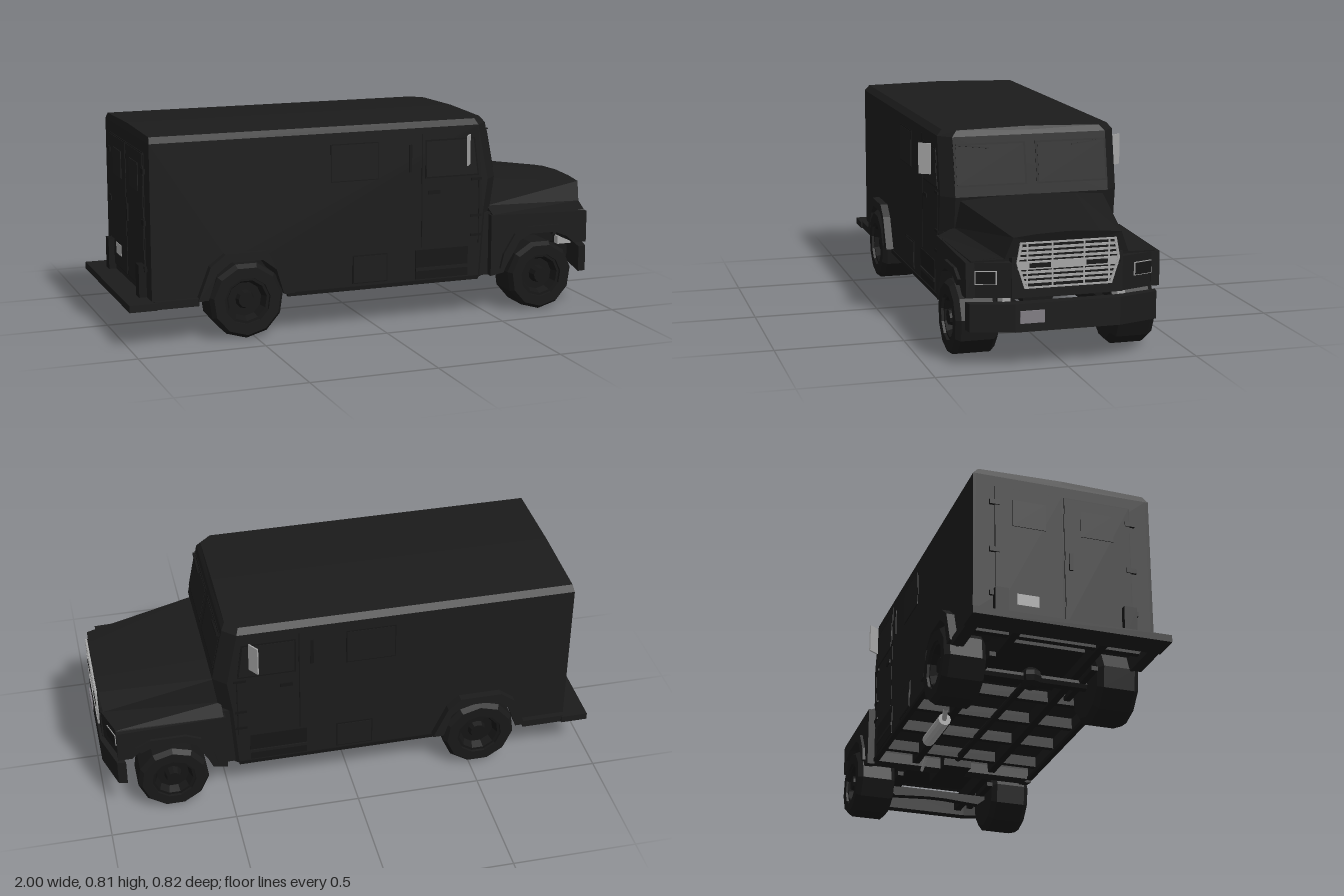
import * as THREE from 'three';

const mat = (name, color) => Object.assign(new THREE.MeshStandardMaterial({ color }), { name });

export function createModel() {
  const truck = new THREE.Group();
  truck.name = 'armouredTruck';
  const paint = mat('blackPaint', 0x1b1b1b);
  const trim = mat('darkTrim', 0x151515);
  const glass = mat('darkGlass', 0x1c1c1c);
  const rubber = mat('tyreRubber', 0x181818);
  const metal = mat('greyMetal', 0xa6a6a6);
  const plateGrey = mat('plateGrey', 0x817d84);

  const add = (name, geo, material, x = 0, y = 0, z = 0) => {
    const flat = geo.index ? geo.toNonIndexed() : geo;
    flat.computeVertexNormals();
    const m = new THREE.Mesh(flat, material);
    m.name = name;
    m.position.set(x, y, z);
    truck.add(m);
    return m;
  };
  // Box given by its limits on each axis
  const box = (name, material, x0, x1, y0, y1, z0, z1) =>
    add(name, new THREE.BoxGeometry(x1 - x0, y1 - y0, z1 - z0), material, (x0 + x1) / 2, (y0 + y1) / 2, (z0 + z1) / 2);
  const both = (fn) => [1, -1].forEach(fn);
  const sideBox = (name, material, x0, x1, y0, y1, z0, z1) =>
    both((s) => box(name, material, x0, x1, y0, y1, s > 0 ? z0 : -z1, s > 0 ? z1 : -z0));
  const shape = (pts) => new THREE.Shape(pts.map((p) => new THREE.Vector2(...p)));
  const extrude = (pts, depth) => new THREE.ExtrudeGeometry(shape(pts), { depth, bevelEnabled: false });
  // Side profile (x, y) spanning z0..z1, on both sides
  const sideProfile = (name, material, pts, z0, z1, bend) => both((s) => {
    const g = extrude(pts, z1 - z0);
    g.translate(0, 0, s > 0 ? z0 : -z1);
    if (bend) bend(g.attributes.position);
    add(name, g, material);
  });
  // Skin over rings of [x, y, z]; each ring turns right-handed about the loft direction
  const loft = (rings) => {
    const v = [], n = rings[0].length;
    const centre = (r) => [0, 1, 2].map((k) => r.reduce((t, p) => t + p[k], 0) / n);
    const first = rings[0], last = rings[rings.length - 1];
    for (let i = 0; i < n; i++) {
      const j = (i + 1) % n;
      for (let k = 0; k + 1 < rings.length; k++) {
        const a = rings[k], b = rings[k + 1];
        v.push(...a[i], ...a[j], ...b[i], ...a[j], ...b[j], ...b[i]);
      }
      v.push(...centre(first), ...first[j], ...first[i], ...centre(last), ...last[i], ...last[j]);
    }
    const g = new THREE.BufferGeometry();
    g.setAttribute('position', new THREE.Float32BufferAttribute(v, 3));
    return g;
  };
  // Nose sweeps back towards the outer corners
  const sweep = (z) => 0.055 * Math.max(0, (Math.abs(z) - 0.2) / 0.17);

  // Body shell: inner block above the floor, thin side skins reaching lower
  const arch = [[-0.7, 0.16], [-0.655, 0.27], [-0.6, 0.312], [-0.47, 0.312], [-0.415, 0.27], [-0.37, 0.16]];
  const upper = [[0.475, 0.42], [0.495, 0.56], [0.45, 0.785], [-0.905, 0.785]];
  const block = extrude([[-0.905, 0.22], [-0.69, 0.22], ...arch.slice(1, 5), [-0.38, 0.22], [0.46, 0.22], ...upper], 0.68);
  block.translate(0, 0, -0.34);
  add('bodyBlock', block, paint);
  sideProfile('bodySide', paint, [[-0.905, 0.155], ...arch, [0.457, 0.155], ...upper], 0.34, 0.352);
  // Cab front with chamfered corners
  add('cabFront', loft([[0.507, 0.155], [0.525, 0.42], [0.545, 0.56], [0.5, 0.785]].map(([x, y]) =>
    [[x - 0.05, y, 0.352], [x, y, 0.305], [x, y, -0.305], [x - 0.05, y, -0.352]])), paint);
  const roofRing = (x0, x1, w) => [[x0, 0.785, -w], [x1, 0.808, 0.02 - w], [x1, 0.815, 0], [x1, 0.808, w - 0.02], [x0, 0.785, w]];
  add('roof', loft([roofRing(-0.905, -0.9, 0.352), roofRing(0.45, 0.44, 0.352), roofRing(0.5, 0.485, 0.305)]), paint);
  box('wheelWell', trim, -0.72, -0.36, 0.2, 0.32, -0.15, 0.15);
  box('rearApron', paint, -0.905, -0.89, 0.16, 0.23, -0.345, 0.345);
  sideProfile('rearWheelFlare', paint,
    [[-0.73, 0.17], [-0.69, 0.17], ...arch.slice(1, 5), [-0.385, 0.17], [-0.34, 0.17], [-0.4, 0.3], [-0.45, 0.345], [-0.62, 0.345], [-0.68, 0.3]], 0.345, 0.383);
  sideBox('rearSkirt', paint, -0.9, -0.725, 0.15, 0.18, 0.33, 0.375);
  sideBox('sill', trim, -0.36, 0.457, 0.15, 0.165, 0.335, 0.356);

  // Side windows, door seams, hatches and step
  sideProfile('cabWindowFrame', trim, [[0.22, 0.58], [0.455, 0.58], [0.435, 0.735], [0.22, 0.735]], 0.35, 0.3535);
  sideProfile('cabWindow', glass, [[0.226, 0.586], [0.448, 0.586], [0.429, 0.729], [0.226, 0.729]], 0.35, 0.355);
  sideBox('sideWindowFrame', trim, -0.18, 0.02, 0.59, 0.74, 0.35, 0.3535);
  sideBox('sideWindow', glass, -0.176, 0.016, 0.594, 0.736, 0.35, 0.355);
  sideBox('gunSlot', trim, 0.15, 0.162, 0.61, 0.72, 0.35, 0.356);
  sideBox('doorSeam', trim, 0.205, 0.209, 0.3, 0.76, 0.35, 0.3535);
  sideBox('doorSeam', trim, 0.455, 0.459, 0.3, 0.56, 0.35, 0.3535);
  for (const y of [0.33, 0.41, 0.56]) sideBox('doorHinge', trim, 0.42, 0.468, y, y + 0.01, 0.345, 0.357);
  sideBox('doorHandle', trim, 0.235, 0.285, 0.515, 0.53, 0.35, 0.357);
  sideBox('hatchFrame', trim, -0.09, 0.06, 0.175, 0.29, 0.35, 0.3545);
  sideBox('hatch', paint, -0.085, 0.055, 0.18, 0.285, 0.35, 0.357);
  sideBox('stepRecess', trim, 0.18, 0.41, 0.17, 0.29, 0.35, 0.355);
  sideBox('stepTread', paint, 0.18, 0.41, 0.205, 0.218, 0.35, 0.36);

  // Split windscreen on the raked cab front, with wipers
  const rake = 0.197;
  both((s) => {
    const slab = (name, m, w, h, x, y, z, t = 0.008) => {
      const p = add(name, new THREE.BoxGeometry(t, h, w), m, x, y, z * s);
      p.rotation.z = rake;
      return p;
    };
    slab('windscreenFrame', trim, 0.285, 0.165, 0.52, 0.678, 0.162);
    slab('windscreen', glass, 0.268, 0.15, 0.5215, 0.678, 0.162);
    slab('wiper', trim, 0.13, 0.005, 0.512, 0.748, 0.23, 0.014).rotation.x = -0.12 * s;
  });

  // Bonnet, nose and hollow front wings
  const bonnetRing = (half, xAt) => [...half.slice(1).reverse().map(([z, y]) => [xAt(z), y, -z]), ...half.map(([z, y]) => [xAt(z), y, z])];
  add('bonnet', loft([
    bonnetRing([[0, 0.565], [0.17, 0.56], [0.29, 0.55], [0.305, 0.44], [0.365, 0.412], [0.368, 0.36]], () => 0.515),
    bonnetRing([[0, 0.507], [0.12, 0.502], [0.205, 0.493], [0.235, 0.415], [0.35, 0.405], [0.368, 0.36]], (z) => 0.985 - sweep(z)),
  ]), paint);
  const bendNose = (p) => {
    for (let i = 0; i < p.count; i++) if (p.getX(i) > 0.95) p.setX(i, p.getX(i) - sweep(p.getZ(i)));
  };
  box('noseBlock', paint, 0.87, 0.984, 0.27, 0.42, -0.21, 0.21);
  box('engineBay', trim, 0.5, 0.88, 0.24, 0.4, -0.19, 0.19);
  sideProfile('headlightPanel', paint, [[0.885, 0.27], [0.98, 0.27], [0.985, 0.4], [0.885, 0.4]], 0.2, 0.369, bendNose);
  sideProfile('frontWing', paint,
    [[0.507, 0.16], [0.565, 0.17], [0.595, 0.24], [0.63, 0.3], [0.68, 0.325], [0.79, 0.325], [0.85, 0.3], [0.885, 0.27], [0.94, 0.27], [0.94, 0.4], [0.507, 0.412]],
    0.335, 0.37);
  box('cowl', paint, 0.46, 0.53, 0.16, 0.42, -0.34, 0.34);
  sideProfile('frontWheelFlare', paint,
    [[0.545, 0.19], [0.565, 0.19], [0.595, 0.24], [0.63, 0.3], [0.68, 0.325], [0.79, 0.325], [0.85, 0.3], [0.87, 0.325], [0.81, 0.355], [0.67, 0.355], [0.61, 0.33], [0.56, 0.25]], 0.36, 0.382);

  // Grille: dark backing, grey rim, bars and centre band
  const rim = [[-0.182, 0.475], [-0.196, 0.4], [-0.166, 0.305], [0.166, 0.305], [0.196, 0.4], [0.182, 0.475]];
  const facing = (name, s, depth, x, m) => {
    const g = new THREE.ExtrudeGeometry(s, { depth, bevelEnabled: false });
    g.rotateY(Math.PI / 2);
    add(name, g, m, x);
  };
  facing('grilleBacking', shape(rim), 0.004, 0.983, trim);
  const ring = shape(rim);
  ring.holes.push(new THREE.Path(rim.map(([z, y]) => new THREE.Vector2(z * 0.955, 0.39 + (y - 0.39) * 0.93))));
  facing('grilleRim', ring, 0.008, 0.986, metal);
  for (const [y, w] of [[0.453, 0.184], [0.435, 0.187], [0.417, 0.19], [0.364, 0.181], [0.346, 0.175], [0.328, 0.17]])
    box('grilleBar', metal, 0.986, 0.992, y - 0.0045, y + 0.0045, -w, w);
  box('grilleBand', metal, 0.986, 0.993, 0.375, 0.405, -0.19, 0.19);
  sideBox('grilleBandInset', trim, 0.99, 0.995, 0.381, 0.398, 0.067, 0.148);
  for (const z of [0.06, 0.155]) sideBox('grillePost', metal, 0.985, 0.991, 0.312, 0.468, z - 0.003, z + 0.003);

  // Headlights follow the swept wings
  both((s) => {
    const lamp = new THREE.Group();
    lamp.name = 'headlight';
    [['headlightBezel', metal, 0.08, 0.05, 0], ['headlightLens', trim, 0.072, 0.044, 0.003]].forEach(([name, m, w, h, out]) => {
      const p = add(name, new THREE.BoxGeometry(0.008, h, w), m, out);
      lamp.add(p);
    });
    lamp.position.set(0.983 - sweep(0.3), 0.345, 0.299 * s);
    lamp.rotation.y = -0.31 * s;
    truck.add(lamp);
  });

  // Bumpers and number plates
  const plan = extrude([[0.91, -0.365], [0.945, -0.358], [0.993, -0.2], [0.993, 0.2], [0.945, 0.358], [0.91, 0.365], [0.95, 0.2], [0.95, -0.2]], 0.105);
  plan.rotateX(-Math.PI / 2);
  add('frontBumper', plan, paint, 0, 0.145);
  box('frontPlate', plateGrey, 0.992, 1, 0.178, 0.224, 0.09, 0.182);
  sideBox('bumperBracket', metal, 0.88, 0.945, 0.235, 0.268, 0.205, 0.235);
  box('rearBumper', paint, -1, -0.89, 0.15, 0.178, -0.382, 0.382);
  sideBox('rearBumperPost', trim, -0.935, -0.9, 0.175, 0.305, 0.225, 0.275);
  box('rearPlate', metal, -0.913, -0.904, 0.255, 0.3, -0.185, -0.1);

  // Rear doors
  sideBox('rearDoorFrame', trim, -0.909, -0.9, 0.2, 0.74, 0.004, 0.27);
  sideBox('rearDoor', paint, -0.911, -0.9, 0.204, 0.736, 0.006, 0.266);
  sideBox('rearWindow', glass, -0.914, -0.9, 0.58, 0.69, 0.07, 0.2);
  for (const y of [0.28, 0.46, 0.66]) sideBox('rearHinge', trim, -0.915, -0.9, y, y + 0.02, 0.25, 0.29);
  box('rearHandle', trim, -0.918, -0.905, 0.43, 0.5, 0.02, 0.035);

  // Door mirrors angled back at their outer edge
  both((s) => {
    const mirror = add('mirror', new THREE.BoxGeometry(0.006, 0.12, 0.05), metal, 0.393, 0.69, 0.387 * s);
    mirror.rotation.y = -0.6 * s;
  });

  // Wheels: coarse tyre and a dished rim with a hub
  const wheel = (name, x, r, hub) => both((s) => {
    const lathe = (pts) => {
      const g = new THREE.LatheGeometry(pts.map((p) => new THREE.Vector2(...p)), 11);
      g.rotateX(s * Math.PI / 2);
      return g;
    };
    add(name + 'Tyre', lathe([[0, 0], [r * 0.86, 0], [r, 0.02], [r, 0.145], [r * 0.9, 0.165], [r * 0.62, 0.165], [r * 0.58, 0.12]]), rubber, x, r + 0.004, 0.222 * s);
    add(name + 'Rim', lathe([[r * 0.62, 0.12], [r * 0.62, 0.155], [r * 0.54, 0.155], [r * 0.45, 0.125], [r * 0.25, 0.125], [r * 0.2, hub], [0, hub]]), trim, x, r + 0.004, 0.222 * s);
  });
  wheel('frontWheel', 0.727, 0.144, 0.16);
  wheel('rearWheel', -0.535, 0.151, 0.145);

  // Chassis rails, cross members, axles, driveline and exhaust
  sideBox('chassisRail', trim, -0.9, 0.95, 0.165, 0.225, 0.155, 0.185);
  for (const x of [-0.82, -0.3, -0.08, 0.14, 0.36]) box('crossMember', trim, x, x + 0.025, 0.175, 0.222, -0.34, 0.34);
  const rod = (name, m, r, a, b) => {
    const path = new THREE.LineCurve3(new THREE.Vector3(...a), new THREE.Vector3(...b));
    return add(name, new THREE.TubeGeometry(path, 1, r, 8), m);
  };
  rod('rearAxle', trim, 0.022, [-0.535, 0.15, -0.23], [-0.535, 0.15, 0.23]);
  add('differential', new THREE.SphereGeometry(0.045, 8, 6), trim, -0.535, 0.152, 0);
  const beam = extrude([[-0.24, 0.15], [-0.19, 0.11], [-0.04, 0.12], [0.04, 0.12], [0.19, 0.11], [0.24, 0.15]], 0.035);
  beam.rotateY(Math.PI / 2);
  add('frontAxleBeam', beam, trim, 0.708);
  for (const x of [-0.535, 0.725]) sideBox('leafSpring', trim, x - 0.15, x + 0.15, 0.15, 0.168, 0.19, 0.215);
  rod('driveShaft', trim, 0.014, [-0.5, 0.16, 0], [0.55, 0.19, 0]);
  box('gearbox', trim, 0.4, 0.62, 0.15, 0.24, -0.06, 0.06);
  const muffler = add('muffler', new THREE.CylinderGeometry(0.026, 0.026, 0.23, 10), metal, 0.015, 0.135, -0.21);
  muffler.rotation.z = Math.PI / 2;
  rod('tailPipe', metal, 0.01, [-0.18, 0.145, -0.23], [-0.09, 0.135, -0.21]);
  rod('downPipe', metal, 0.007, [0.33, 0.15, -0.16], [0.5, 0.155, -0.13]);
  return truck;
}
